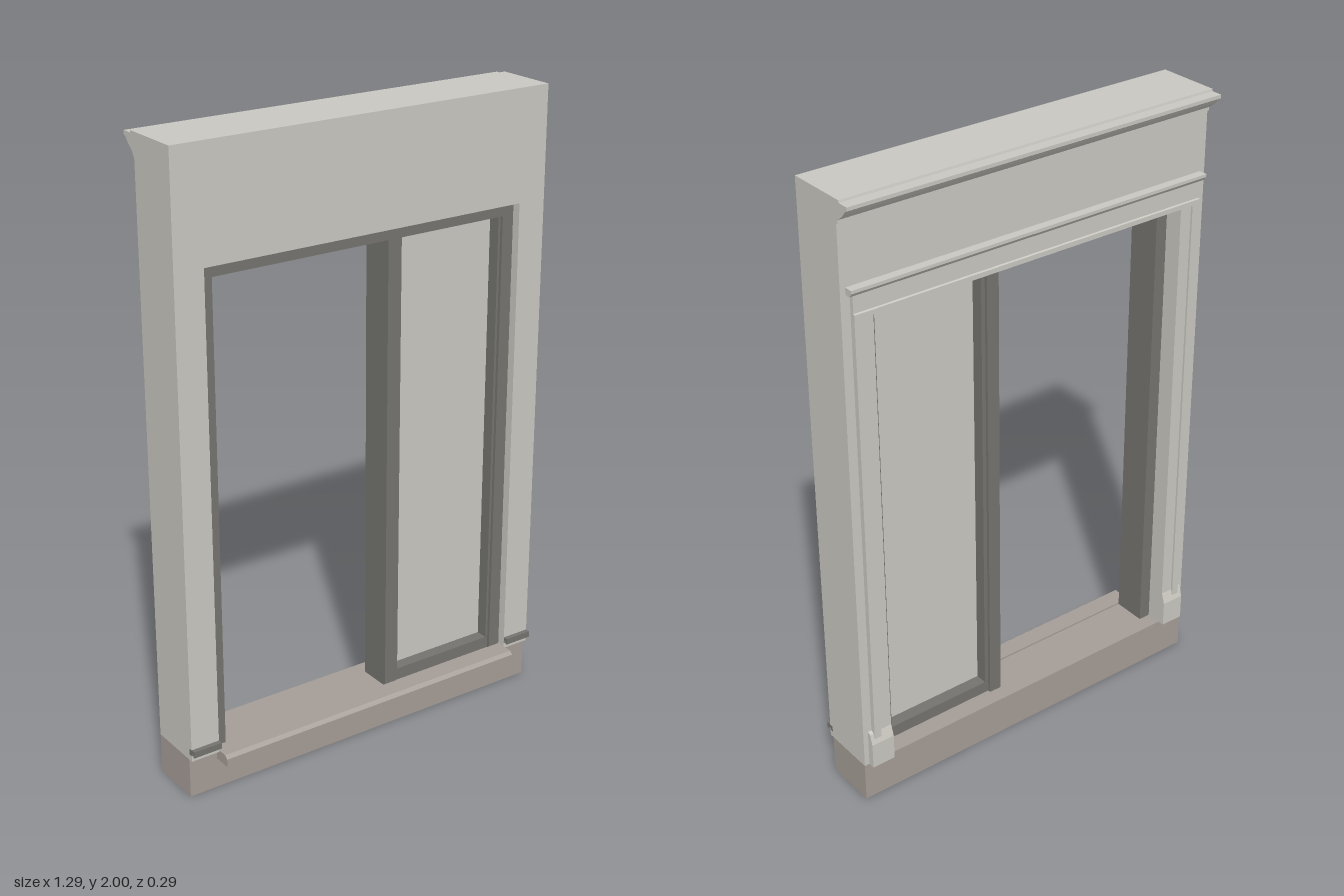
import * as THREE from 'three';

const material = (name, color) => new THREE.MeshStandardMaterial({ name, color });

export function createModel() {
  const plaster = material('pale plaster', 0xc9c7c0);
  const stone = material('warm stone', 0xa59c96);
  const metal = material('dark frame', 0x74736e);
  const model = new THREE.Group();
  model.name = 'wallWithSlidingWindow';

  const add = (name, geometry, mat) => {
    const mesh = new THREE.Mesh(geometry, mat);
    mesh.name = name;
    model.add(mesh);
    return mesh;
  };
  // Box given by its lower and upper limits
  const block = (name, mat, [x0, x1], [y0, y1], [z0, z1]) => {
    const g = new THREE.BoxGeometry(x1 - x0, y1 - y0, z1 - z0);
    g.translate((x0 + x1) / 2, (y0 + y1) / 2, (z0 + z1) / 2);
    return add(name, g, mat);
  };
  const shapeOf = (points) => new THREE.Shape(points.map(([a, b]) => new THREE.Vector2(a, b)));
  // Moulding: a (z, y) profile swept along x
  const moulding = (name, mat, x0, x1, profile) => {
    const g = new THREE.ExtrudeGeometry(shapeOf(profile), { depth: x1 - x0, bevelEnabled: false });
    g.rotateY(-Math.PI / 2);
    g.translate(x1, 0, 0);
    return add(name, g, mat);
  };

  const W = 0.645;            // half width of the wall
  const O = 0.55;             // half width of the opening
  const back = -0.09, front = 0.098;
  const floor = 0.13, head = 1.65;

  // Wall with the opening cut up from its foot
  const wall = new THREE.ExtrudeGeometry(shapeOf([
    [-W, floor], [-O, floor], [-O, head], [O, head],
    [O, floor], [W, floor], [W, 2], [-W, 2],
  ]), { depth: front - back, bevelEnabled: false });
  wall.translate(0, 0, back);
  add('wall', wall, plaster);

  // Stone base and projecting sill
  block('base', stone, [-W, W], [0, floor], [back, 0.083]);
  moulding('sill', stone, -O, O, [
    [0.07, 0.1], [0.143, 0.1], [0.143, 0.126], [0.132, 0.136], [0.07, 0.136],
  ]);

  // Window frame, mullion and fixed sash
  const depth = [-0.04, 0.07];
  block('frameHead', metal, [-O, O], [1.61, head], depth);
  block('frameJambRight', metal, [-O, -0.51], [floor, 1.61], depth);
  block('frameJambLeft', metal, [0.51, O], [floor, 1.61], depth);
  block('mullion', metal, [0.085, 0.127], [floor, 1.61], depth);
  const sashDepth = [-0.03, 0.06];
  block('sashStileInner', metal, [0.127, 0.14], [floor, 1.61], sashDepth);
  block('sashStileOuter', metal, [0.502, 0.51], [floor, 1.61], sashDepth);
  block('sashBottomRail', metal, [0.14, 0.502], [floor, 0.17], sashDepth);
  block('pane', plaster, [0.14, 0.502], [0.17, 1.61], [0.01, 0.02]);

  for (const [side, s] of [['Left', 1], ['Right', -1]]) {
    const span = (a, b) => (s > 0 ? [a, b] : [-b, -a]);
    // Drip flashing on the front
    moulding('flashing' + side, metal, ...span(O, W), [
      [0.085, 0.15], [0.1, 0.15], [0.1, 0.162], [0.108, 0.162],
      [0.108, 0.15], [0.114, 0.15], [0.114, 0.17], [0.085, 0.17],
    ]);
    // Casing on the back: flat board with a raised outer band
    block('casing' + side, plaster, span(O, 0.59), [floor, head], [-0.1, back]);
    block('casingBand' + side, plaster, span(0.59, 0.615), [floor, head], [-0.107, back]);
    // Plinth block with a sloping top
    moulding('plinth' + side, plaster, ...span(O, 0.628), [
      [back, floor], [back, 0.255], [-0.101, 0.25], [-0.112, 0.215], [-0.112, floor],
    ]);
  }

  // Head casing with a bottom fillet and a cap
  moulding('headCasing', plaster, -0.615, 0.615, [
    [back, head], [back, 1.73], [-0.103, 1.73], [-0.103, 1.667], [-0.109, 1.665], [-0.109, head],
  ]);
  moulding('headCap', plaster, -0.628, 0.628, [
    [back, 1.722], [back, 1.744], [-0.118, 1.744], [-0.118, 1.734], [-0.108, 1.722],
  ]);

  // Cornice along the top of the back
  moulding('cornice', plaster, -W, W, [
    [back, 1.93], [back, 2], [-0.105, 2], [-0.107, 1.993], [-0.143, 1.993],
    [-0.143, 1.982], [-0.134, 1.977], [-0.122, 1.962], [-0.108, 1.95], [-0.097, 1.942], [-0.097, 1.932],
  ]);

  return model;
}
